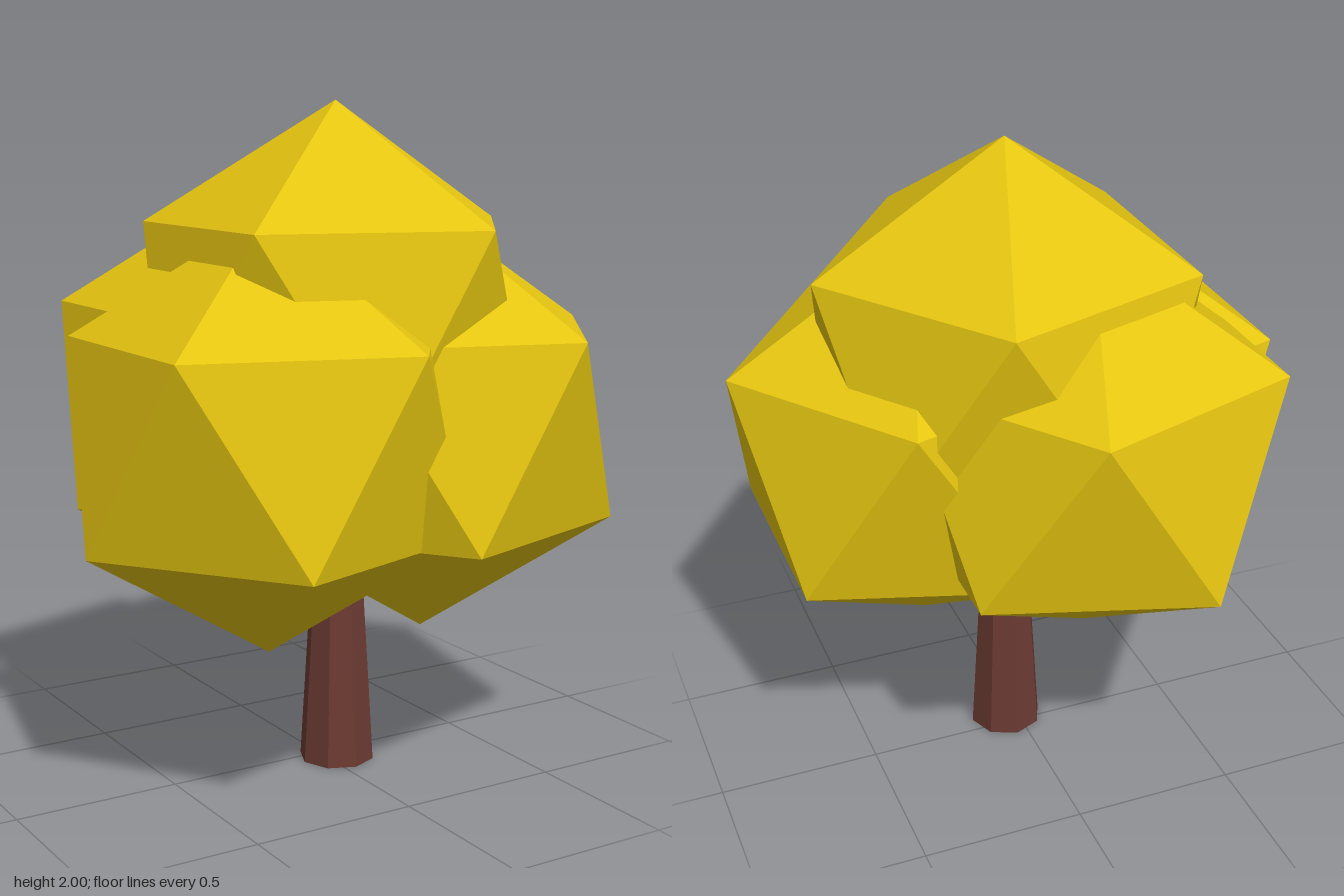
import * as THREE from 'three';

export function createModel() {
  const tree = new THREE.Group();
  tree.name = 'tree';

  const bark = new THREE.MeshStandardMaterial({ color: 0x6b3a32, flatShading: true });
  const leaves = new THREE.MeshStandardMaterial({ color: 0xe5c510, flatShading: true });

  // Tapered eight-sided trunk, its top hidden inside the crown
  const trunk = new THREE.Mesh(new THREE.CylinderGeometry(0.055, 0.115, 1.0, 8), bark);
  trunk.name = 'trunk';
  trunk.position.set(0.035, 0.5, 0.05);
  tree.add(trunk);

  // Icosahedron turned so that one corner points straight up
  const clump = new THREE.IcosahedronGeometry(0.637, 0);
  clump.rotateZ(-Math.atan(2 / (1 + Math.sqrt(5))));

  // Four overlapping foliage clumps
  const clumps = {
    topFoliage: [0.03, 1.363, 0.045],
    leftFoliage: [0.265, 1.053, 0.165],
    rightFoliage: [-0.27, 1.055, 0.165],
    backFoliage: [-0.145, 1.117, -0.17],
  };
  for (const [name, position] of Object.entries(clumps)) {
    const mesh = new THREE.Mesh(clump, leaves);
    mesh.name = name;
    mesh.position.set(...position);
    tree.add(mesh);
  }

  return tree;
}
